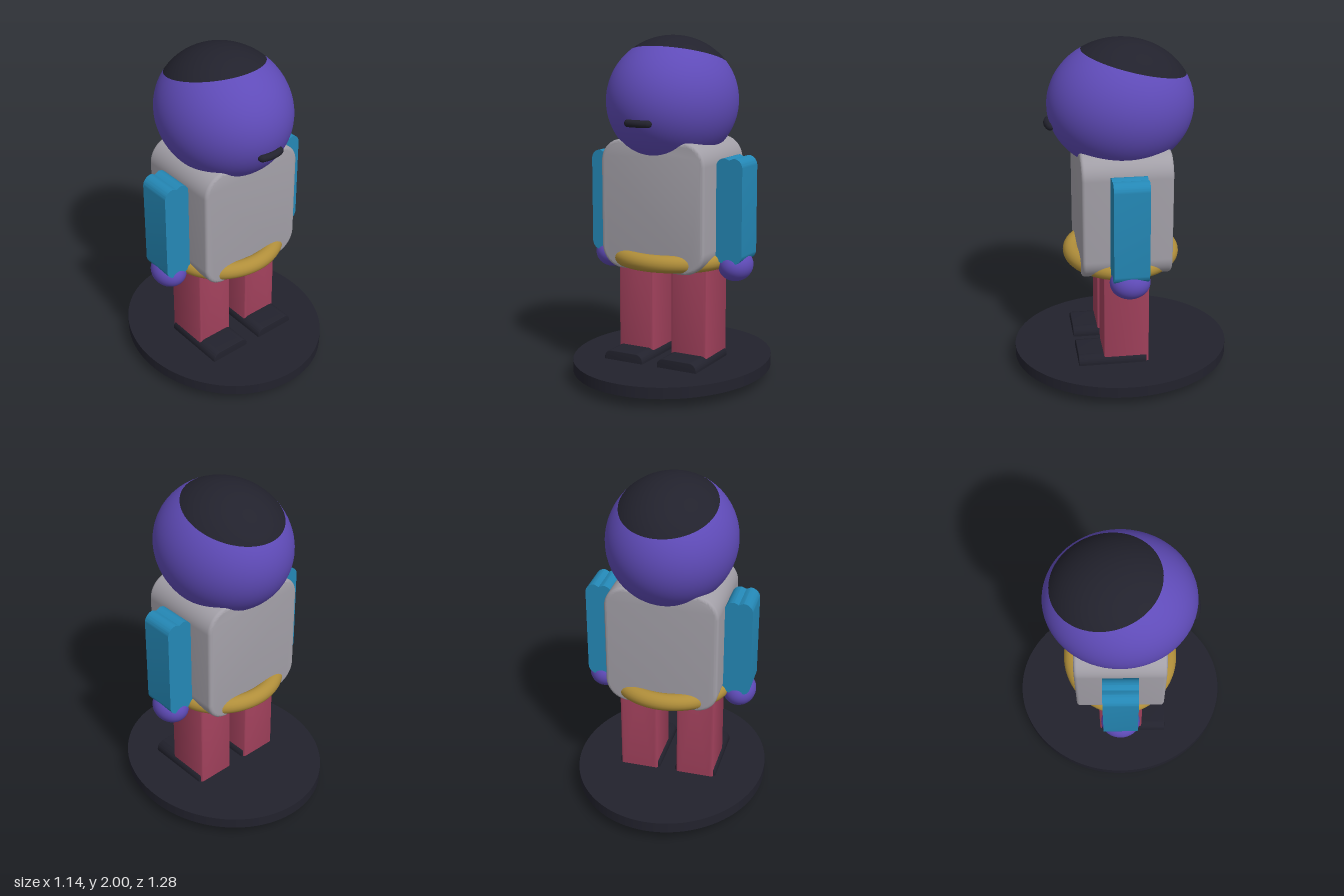
import * as THREE from 'three';
import { toCreasedNormals } from 'three/addons/utils/BufferGeometryUtils.js';

const mat = (name, color) => {
  const m = new THREE.MeshStandardMaterial({ color });
  m.name = name;
  return m;
};

// Upright rounded slab, extruded along z; notch dips the middle of both ends.
function slab(w, h, d, r, bevel = 0, notch = 0) {
  const x = w / 2 - bevel, y = h / 2 - bevel, s = new THREE.Shape();
  s.moveTo(x, -y + r);
  s.lineTo(x, y - r);
  s.absarc(x - r, y - r, r, 0, Math.PI / 2, false);
  if (notch) s.lineTo(0, y - notch);
  s.lineTo(-x + r, y);
  s.absarc(-x + r, y - r, r, Math.PI / 2, Math.PI, false);
  s.lineTo(-x, -y + r);
  s.absarc(-x + r, -y + r, r, Math.PI, Math.PI * 1.5, false);
  if (notch) s.lineTo(0, -y + notch);
  s.lineTo(x - r, -y);
  s.absarc(x - r, -y + r, r, -Math.PI / 2, 0, false);
  const g = new THREE.ExtrudeGeometry(s, {
    depth: d - 2 * bevel, curveSegments: 10, bevelEnabled: bevel > 0,
    bevelSize: bevel, bevelThickness: bevel, bevelSegments: 4,
  });
  g.translate(0, 0, -d / 2 + bevel);
  return toCreasedNormals(g, 0.6);
}

export function createModel() {
  const root = new THREE.Group();
  root.name = 'figurine';
  const purple = mat('purple skin', 0x5f4bb8);
  const grey = mat('grey shirt', 0xa3a0a8);
  const teal = mat('teal sleeve', 0x2488b6);
  const gold = mat('gold belt', 0xb08e3a);
  const pink = mat('raspberry trousers', 0xa0405b);
  const dark = mat('charcoal', 0x22222d);

  const add = (name, geo, material, x, y, z) => {
    const m = new THREE.Mesh(geo, material);
    m.name = name;
    m.position.set(x, y, z);
    root.add(m);
    return m;
  };

  // Oval base
  add('base', new THREE.CylinderGeometry(1, 1, 0.065, 96).scale(0.57, 1, 0.64), dark, 0, 0.0925, 0);

  // Torso and belt ring
  add('torso', slab(0.66, 0.745, 0.515, 0.11, 0.02), grey, 0, 1.047, 0);
  add('belt', new THREE.TorusGeometry(0.29, 0.05, 20, 72).rotateX(Math.PI / 2).scale(1.08, 1, 1), gold, 0, 0.732, 0);

  // Head split into face and a backward-tilted hair cap
  const capAngle = 0.83, tilt = -0.271;
  const headPart = (start, length) =>
    new THREE.SphereGeometry(1, 64, 40, 0, Math.PI * 2, start, length).rotateX(tilt).scale(0.37, 0.37, 0.415);
  add('head', headPart(capAngle, Math.PI - capAngle), purple, 0, 1.63, 0);
  add('hairCap', headPart(0, capAngle), dark, 0, 1.63, 0);

  // Mouth bar, bent around the face
  const mouth = new THREE.CapsuleGeometry(0.021, 0.126, 8, 16, 12).rotateZ(Math.PI / 2);
  const p = mouth.attributes.position;
  for (let i = 0; i < p.count; i++) p.setZ(i, p.getZ(i) - 2.5 * p.getX(i) ** 2);
  mouth.computeVertexNormals();
  add('mouth', mouth, dark, 0, 1.53, 0.414);

  // Paired limbs
  for (const [side, s] of [['left', 1], ['right', -1]]) {
    add(side + 'Arm', slab(0.162, 0.6, 0.2, 0.055, 0, 0.012), teal, s * 0.408, 1.03, 0);
    add(side + 'Hand', new THREE.SphereGeometry(1, 36, 24).scale(0.098, 0.094, 0.115), purple, s * 0.408, 0.71, 0);
    add(side + 'Leg', slab(0.228, 0.74, 0.265, 0.055, 0.01, 0.014), pink, s * 0.174, 0.37, 0.002);
    add(side + 'Shoe', slab(0.254, 0.1, 0.4, 0.042, 0.004), dark, s * 0.174, 0.13, 0.083);
  }
  return root;
}
